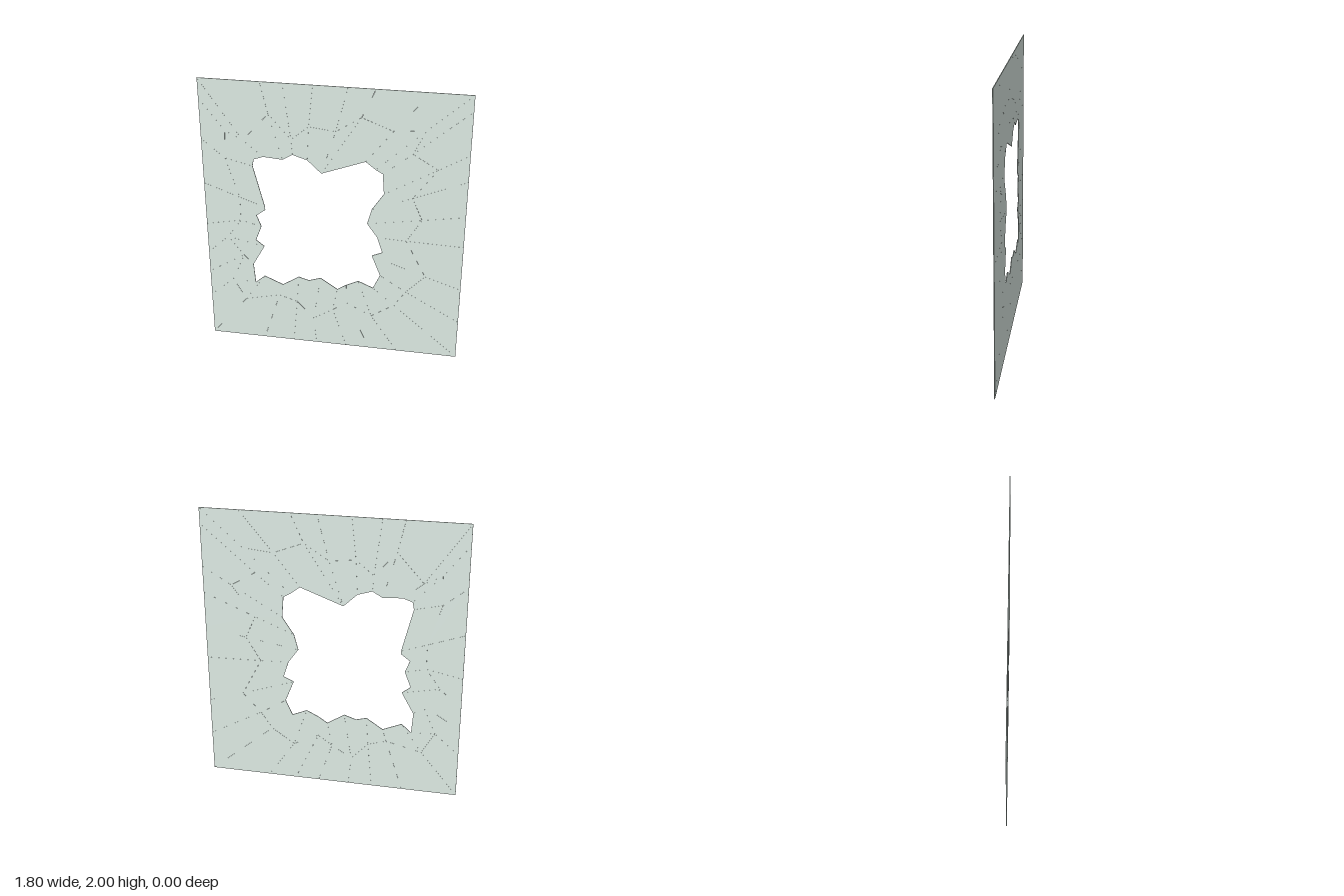
import * as THREE from 'three';

const THICKNESS = 0.005;
const FIT = 0.998; // each shard is a hair smaller than its place, leaving fine cracks

// Jagged outline of the opening, clockwise from the upper left, as [x, y]
const HOLE = [
  [-0.55, 1.395], [-0.54, 1.445], [-0.474, 1.469], [-0.341, 1.459], [-0.272, 1.5], [-0.172, 1.469],
  [-0.077, 1.379], [0.22, 1.49], [0.288, 1.438], [0.336, 1.411], [0.347, 1.263], [0.267, 1.14],
  [0.238, 1.029], [0.31, 0.928], [0.347, 0.812], [0.275, 0.78], [0.336, 0.626], [0.288, 0.517],
  [0.183, 0.562], [0.098, 0.52], [0.034, 0.477], [-0.087, 0.557], [-0.172, 0.528], [-0.246, 0.549],
  [-0.362, 0.472], [-0.495, 0.53], [-0.563, 0.469], [-0.574, 0.62], [-0.489, 0.775], [-0.548, 0.822],
  [-0.505, 0.934], [-0.537, 1.019], [-0.474, 1.066], [-0.474, 1.088],
];

// Ring crack halfway between the opening and the rim
const CRACK = [
  [-0.73, 1.64], [-0.61, 1.58], [-0.43, 1.78], [-0.28, 1.61], [-0.16, 1.71], [0.02, 1.69],
  [0.19, 1.8], [0.4, 1.72], [0.61, 1.74], [0.53, 1.57], [0.7, 1.47], [0.54, 1.25],
  [0.61, 1.09], [0.51, 0.92], [0.65, 0.65], [0.52, 0.51], [0.44, 0.39], [0.28, 0.28],
  [0.1, 0.37], [0, 0.3], [-0.14, 0.21], [-0.26, 0.34], [-0.39, 0.38], [-0.64, 0.32],
  [-0.73, 0.48], [-0.64, 0.69], [-0.75, 0.83], [-0.65, 0.97], [-0.65, 1.15], [-0.74, 1.44],
];

// Where the crack from each ring point reaches the rectangular rim
const RIM = [
  [-0.9, 1.86], [-0.9, 2], [-0.48, 2], [-0.33, 2], [-0.13, 2], [0.1, 2],
  [0.28, 2], [0.63, 2], [0.9, 2], [0.9, 1.89], [0.9, 1.59], [0.9, 1.4],
  [0.9, 1.14], [0.9, 0.91], [0.9, 0.57], [0.9, 0.3], [0.9, 0], [0.47, 0],
  [0.27, 0], [0.1, 0], [-0.12, 0], [-0.29, 0], [-0.51, 0], [-0.9, 0],
  [-0.9, 0.33], [-0.9, 0.53], [-0.9, 0.69], [-0.9, 0.92], [-0.9, 1.24], [-0.9, 1.57],
];

// Which corner of the opening each ring point cracks through to
const INNER = [
  1, 2, 3, 4, 5, 6, 6, 7, 8, 9, 10, 11, 12, 13, 15,
  16, 17, 18, 19, 20, 21, 23, 24, 25, 26, 27, 28, 30, 33, 0,
];

const material = new THREE.MeshStandardMaterial({ color: 0xecfaf3 });

// One flat piece of the pane, shrunk slightly about its middle
function shard(name, corners) {
  const points = corners.map(([x, y]) => new THREE.Vector2(x, y));
  const middle = points.reduce((sum, p) => sum.add(p), new THREE.Vector2()).divideScalar(points.length);
  points.forEach((p) => p.sub(middle).multiplyScalar(FIT).add(middle));
  const geometry = new THREE.ExtrudeGeometry(new THREE.Shape(points), { depth: THICKNESS, bevelEnabled: false });
  geometry.translate(0, 0, -THICKNESS / 2);
  const mesh = new THREE.Mesh(geometry, material);
  mesh.name = name;
  return mesh;
}

// Corners of the opening from index a clockwise to index b
function holeRun(a, b) {
  const run = [HOLE[a]];
  for (let k = a; k !== b;) {
    k = (k + 1) % HOLE.length;
    run.push(HOLE[k]);
  }
  return run;
}

export function createModel() {
  const group = new THREE.Group();
  group.name = 'brokenPane';

  CRACK.forEach((point, i) => {
    const j = (i + 1) % CRACK.length;
    // Outer shard between the rim and the ring crack
    group.add(shard('outerShard', [RIM[i], RIM[j], CRACK[j], point]));
    // Inner shard between the ring crack and the opening
    group.add(shard('innerShard', [point, CRACK[j], ...holeRun(INNER[i], INNER[j]).reverse()]));
  });
  return group;
}
